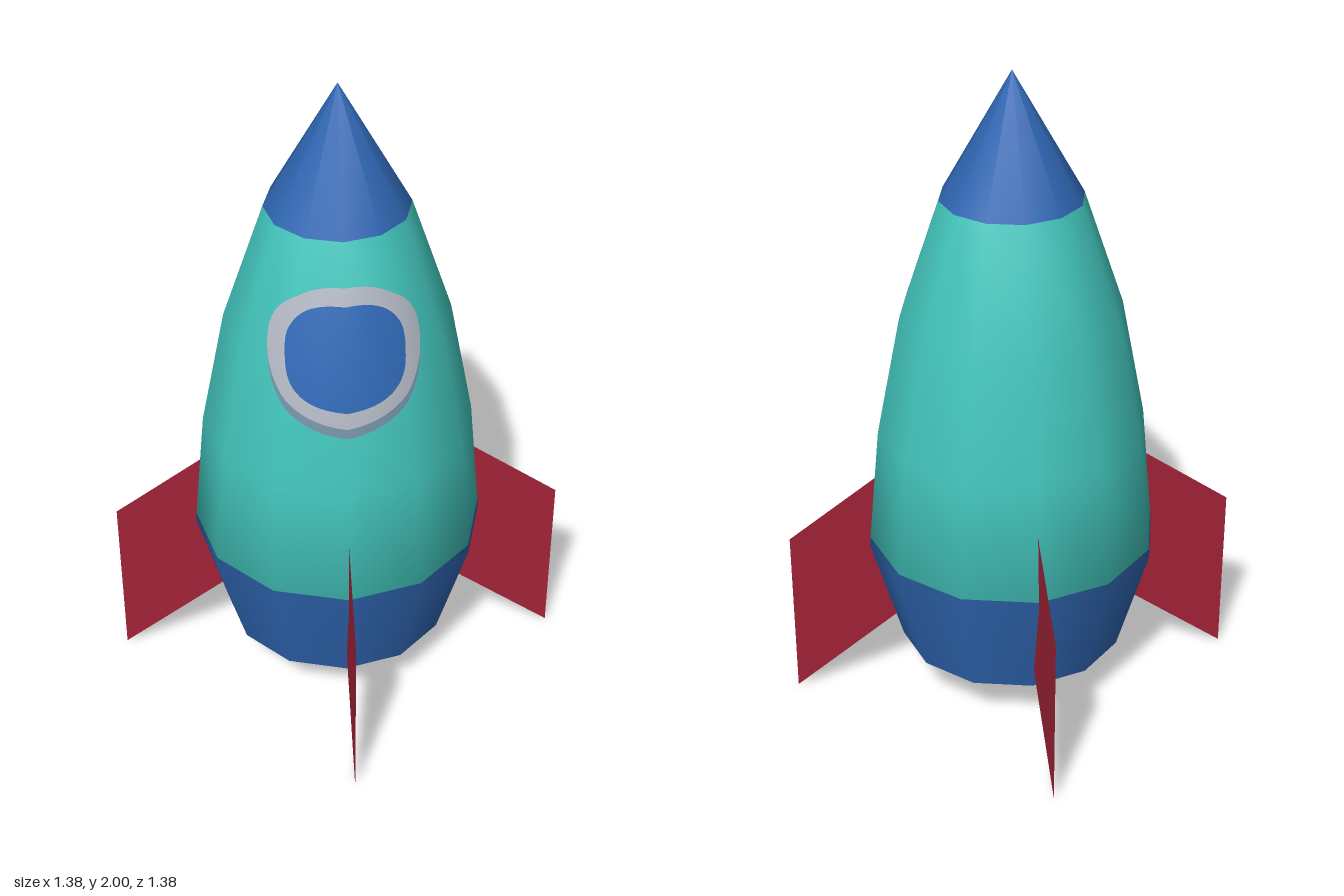
import * as THREE from 'three';

const mat = (name, color, side = THREE.FrontSide) => {
  const m = new THREE.MeshStandardMaterial({ color, side });
  m.name = name;
  return m;
};

const SIDES = 12;
// Hull profile: [radius, height], bottom to tip; the third point is the paint line
const PROFILE = [[0.348, 0.157], [0.445, 0.497], [0.4425, 0.525], [0.408, 0.89],
  [0.334, 1.265], [0.212, 1.624], [0, 2]];

// Hull radius at a given height
function radiusAt(y) {
  let i = 0;
  while (i < PROFILE.length - 2 && PROFILE[i + 1][1] < y) i++;
  const [r0, y0] = PROFILE[i], [r1, y1] = PROFILE[i + 1];
  return r0 + (r1 - r0) * (y - y0) / (y1 - y0);
}

// Depth of the faceted hull's front at (x, y)
function frontZ(x, y) {
  const r = radiusAt(y), step = 2 * Math.PI / SIDES, ax = Math.abs(x);
  const k = ax < r * Math.sin(step) ? 0 : 1;
  const x0 = r * Math.sin(k * step), x1 = r * Math.sin((k + 1) * step);
  const z0 = r * Math.cos(k * step), z1 = r * Math.cos((k + 1) * step);
  return z0 + (z1 - z0) * (ax - x0) / (x1 - x0);
}

// Thin rounded patch that follows the hull surface
function hullPatch(name, material, cy, rx, ry, power, lift) {
  const rings = 18, segs = 72, pos = [], nor = [], idx = [];
  const n = new THREE.Vector3();
  for (let i = 0; i <= rings; i++) {
    for (let j = 0; j <= segs; j++) {
      const a = j / segs * Math.PI * 2, c = Math.cos(a), s = Math.sin(a);
      const k = i / rings / Math.pow(Math.abs(c) ** power + Math.abs(s) ** power, 1 / power);
      const x = rx * k * c, y = cy + ry * k * s, z = frontZ(x, y);
      const slope = (radiusAt(y - 0.15) - radiusAt(y + 0.15)) / 0.3;
      n.set(x, slope * Math.hypot(x, z), z).normalize();
      pos.push(x + n.x * lift, y + n.y * lift, z + n.z * lift);
      nor.push(n.x, n.y, n.z);
      if (i < rings && j < segs) {
        const p = i * (segs + 1) + j, q = p + segs + 1;
        idx.push(p, q, q + 1, p, q + 1, p + 1);
      }
    }
  }
  const g = new THREE.BufferGeometry();
  g.setAttribute('position', new THREE.Float32BufferAttribute(pos, 3));
  g.setAttribute('normal', new THREE.Float32BufferAttribute(nor, 3));
  g.setIndex(idx);
  const mesh = new THREE.Mesh(g, material);
  mesh.name = name;
  return mesh;
}

export function createModel() {
  const rocket = new THREE.Group();
  rocket.name = 'rocket';
  const teal = mat('teal', 0x42c4bb);
  const blue = mat('blue', 0x3068b5);
  const red = mat('red', 0xa32338, THREE.DoubleSide);
  const grey = mat('light grey', 0xb2b7c2);
  const slate = mat('slate grey', 0x7390a4);

  // Hull: one smooth lathe, with blue tail and nose bands
  const hullGeo = new THREE.LatheGeometry(
    PROFILE.map(([r, y]) => new THREE.Vector2(r, y)), SIDES);
  const rows = PROFILE.length, normals = hullGeo.attributes.normal;
  for (let i = 0; i <= SIDES; i++) {
    // Keep the shading smooth across the paint line
    const a = i * rows + 1;
    normals.setXYZ(a + 1, normals.getX(a), normals.getY(a), normals.getZ(a));
    if (i === SIDES) break;
    for (let j = 0; j < rows - 1; j++) {
      // The tip row has a single triangle pair like the rest
      hullGeo.addGroup((i * (rows - 1) + j) * 6, 6, j < 2 || j === rows - 2 ? 1 : 0);
    }
  }
  const hull = new THREE.Mesh(hullGeo, [teal, blue]);
  hull.name = 'hull';
  rocket.add(hull);

  // Closed underside
  const base = new THREE.Mesh(new THREE.CircleGeometry(PROFILE[0][0], SIDES), red);
  base.rotation.x = Math.PI / 2;
  base.position.y = PROFILE[0][1];
  base.name = 'base';
  rocket.add(base);

  // Porthole: shaded lower rim, frame and glass
  const porthole = new THREE.Group();
  porthole.name = 'porthole';
  porthole.add(
    hullPatch('portholeLowerRim', slate, 1.275, 0.213, 0.203, 2.2, 0.003),
    hullPatch('portholeFrame', grey, 1.302, 0.212, 0.2, 2.2, 0.006),
    hullPatch('portholeGlass', blue, 1.302, 0.165, 0.15, 2.6, 0.009));
  rocket.add(porthole);

  // Four flat fins around the tail
  const finShape = new THREE.Shape([[0.33, 0.262], [0.69, 0], [0.69, 0.545], [0.38, 0.765]]
    .map(([x, y]) => new THREE.Vector2(x, y)));
  const finGeo = new THREE.ShapeGeometry(finShape);
  ['leftFin', 'backFin', 'rightFin', 'frontFin'].forEach((name, i) => {
    const fin = new THREE.Mesh(finGeo, red);
    fin.rotation.y = i * Math.PI / 2;
    fin.name = name;
    rocket.add(fin);
  });

  return rocket;
}
